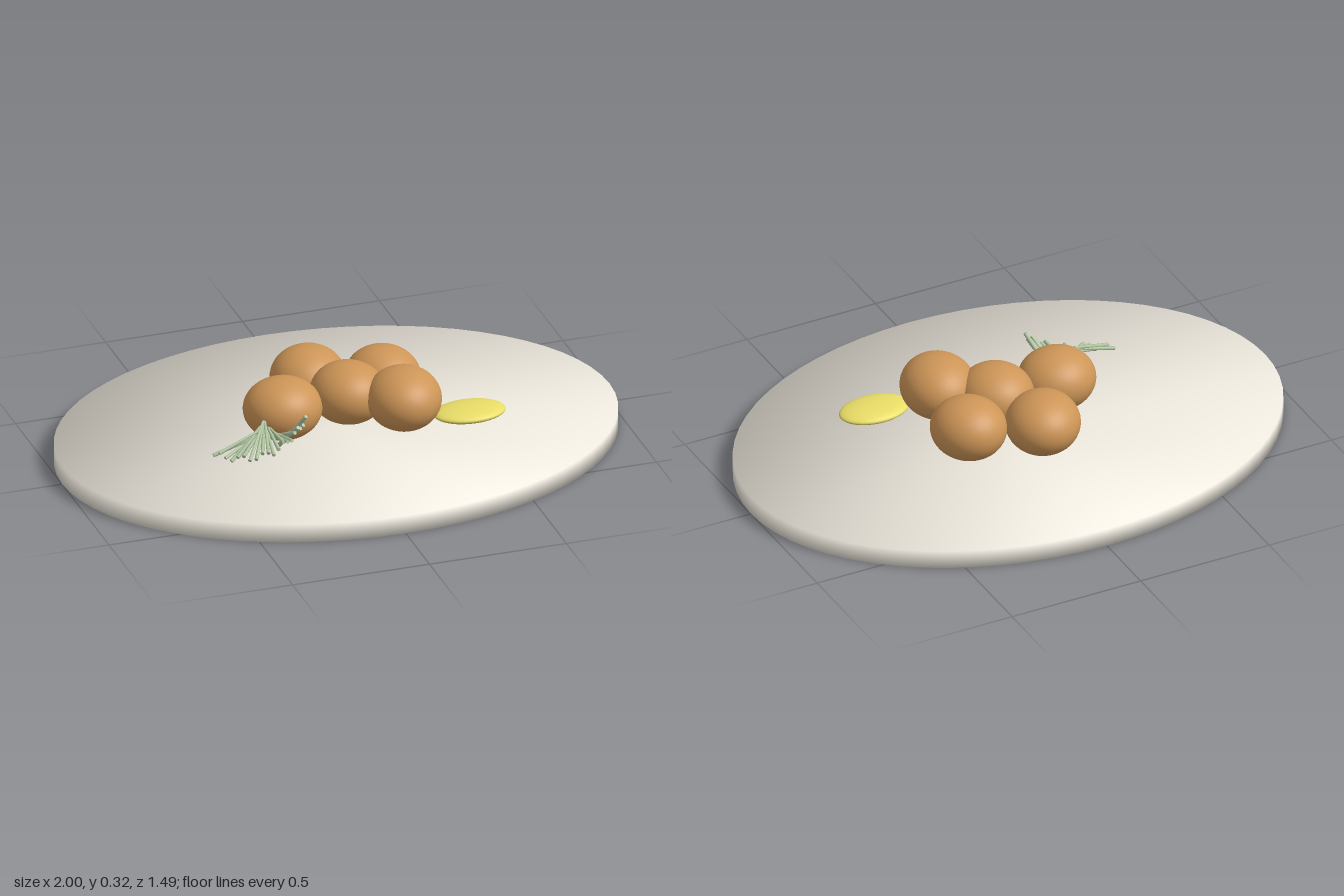
import * as THREE from 'three';
import { mergeVertices } from 'three/addons/utils/BufferGeometryUtils.js';

const paint = (color) => new THREE.MeshStandardMaterial({ color });
const crust = paint(0xcd9557);
const lemon = paint(0xe8dc66);
const herb = paint(0xb4c8a4);
const china = paint(0xece7dc);

function add(group, name, geometry, material) {
  const mesh = new THREE.Mesh(geometry, material);
  mesh.name = name;
  group.add(mesh);
  return mesh;
}

// Flat oval slab whose normals roll softly from the faces over the rim
function platterGeometry(a, b, height) {
  let g = new THREE.CylinderGeometry(1, 1, height, 64);
  g.deleteAttribute('normal');
  g.deleteAttribute('uv');
  g.clearGroups();
  g = mergeVertices(g);
  g.scale(a, 1, b);
  g.translate(0, height / 2, 0);
  const p = g.attributes.position;
  const normals = [];
  const n = new THREE.Vector3();
  for (let i = 0; i < p.count; i++) {
    n.set(p.getX(i) / (a * a), 0, p.getZ(i) / (b * b));
    if (n.length() > 0.01) n.normalize();
    n.y = p.getY(i) > height / 2 ? 1 : -1;
    n.normalize();
    normals.push(n.x, n.y, n.z);
  }
  g.setAttribute('normal', new THREE.Float32BufferAttribute(normals, 3));
  return g;
}

const curve = (points) =>
  new THREE.CatmullRomCurve3(points.map((p) => new THREE.Vector3(...p)));

export function createModel() {
  const model = new THREE.Group();
  model.name = 'platterOfCroquettes';

  // Platter
  add(model, 'platter', platterGeometry(1, 0.746, 0.068), china);

  // Pile of croquettes: centre, radii, turn about y
  const ball = new THREE.SphereGeometry(1, 40, 28);
  const croquettes = new THREE.Group();
  croquettes.name = 'croquettes';
  model.add(croquettes);
  [
    [[-0.04, 0.178, -0.185], [0.132, 0.108, 0.142], -0.5],
    [[0.205, 0.178, -0.1], [0.13, 0.11, 0.136], 0.5],
    [[-0.207, 0.185, 0.035], [0.139, 0.109, 0.132], 0],
    [[0.037, 0.2, 0.02], [0.132, 0.108, 0.136], 0.3],
    [[0.198, 0.21, 0.145], [0.132, 0.11, 0.145], -0.2],
  ].forEach(([centre, radii, turn], i) => {
    const m = add(croquettes, `croquette${i + 1}`, ball, crust);
    m.position.set(...centre);
    m.scale.set(...radii);
    m.rotation.y = turn;
  });

  // Lemon slice
  const slice = add(model, 'lemonSlice', ball, lemon);
  slice.position.set(0.42, 0.147, 0.197);
  slice.scale.set(0.129, 0.024, 0.085);

  // Herb sprig: a fan of needles spanning two curves
  const sprig = new THREE.Group();
  sprig.name = 'herbSprig';
  model.add(sprig);
  const inner = curve([
    [-0.36, 0.17, 0.19], [-0.32, 0.19, 0.15], [-0.3, 0.18, 0.12],
    [-0.28, 0.14, 0.13], [-0.26, 0.1, 0.15],
  ]);
  const outer = curve([
    [-0.515, 0.125, 0.195], [-0.43, 0.125, 0.255], [-0.33, 0.14, 0.275],
    [-0.25, 0.19, 0.27], [-0.195, 0.24, 0.25],
  ]);
  const up = new THREE.Vector3(0, 1, 0);
  const count = 20;
  for (let i = 0; i < count; i++) {
    const t = i / (count - 1);
    const from = inner.getPoint(t);
    const to = outer.getPoint(t);
    from.y += 0.01 * Math.sin(i * 2.3);
    to.y += 0.012 * Math.sin(i * 1.7);
    const along = to.clone().sub(from);
    const needle = new THREE.CylinderGeometry(0.007, 0.005, along.length(), 6);
    const m = add(sprig, `needle${i + 1}`, needle, herb);
    m.position.copy(from).lerp(to, 0.5);
    m.quaternion.setFromUnitVectors(up, along.normalize());
  }
  return model;
}
